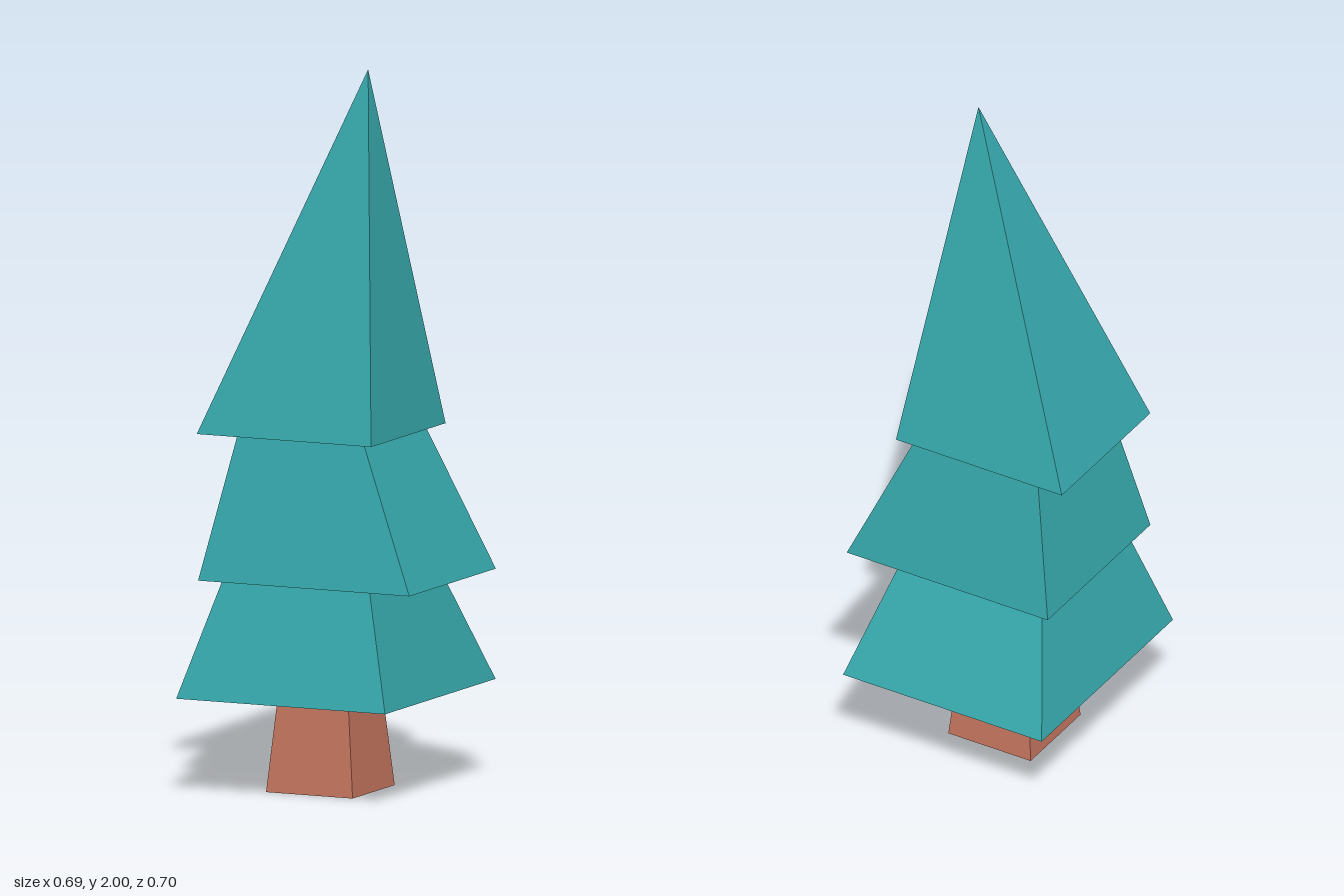
import * as THREE from 'three';
import { ConvexGeometry } from 'three/addons/geometries/ConvexGeometry.js';

// Corners of a level rectangle [x0, x1, z0, z1] at height y; a zero-size one is a single point
function corners([x0, x1, z0, z1], y) {
  const xs = x0 === x1 ? [x0] : [x0, x1];
  const zs = z0 === z1 ? [z0] : [z0, z1];
  return xs.flatMap((x) => zs.map((z) => new THREE.Vector3(x, y, z)));
}

// Solid tapering from a bottom rectangle to a top rectangle
function taperedBlock(name, material, y0, bottom, y1, top) {
  const geometry = new ConvexGeometry([...corners(bottom, y0), ...corners(top, y1)]);
  const mesh = new THREE.Mesh(geometry, material);
  mesh.name = name;
  return mesh;
}

export function createModel() {
  const tree = new THREE.Group();
  tree.name = 'tree';
  const bark = new THREE.MeshStandardMaterial({ color: 0xc4755f, flatShading: true });
  const needles = new THREE.MeshStandardMaterial({ color: 0x36a7ab, flatShading: true });

  tree.add(
    // Trunk
    taperedBlock('trunk', bark, 0, [-0.16, 0.103, -0.1, 0.165], 0.272, [-0.135, 0.077, -0.073, 0.14]),
    // Lopsided foliage tiers, each tucked under the next
    taperedBlock('lowerFoliage', needles, 0.272, [-0.345, 0.29, -0.348, 0.348], 0.596, [-0.25, 0.195, -0.19, 0.25]),
    taperedBlock('middleFoliage', needles, 0.596, [-0.3, 0.342, -0.242, 0.303], 0.995, [-0.218, 0.165, -0.16, 0.224]),
    // Pointed top
    taperedBlock('topFoliage', needles, 0.995, [-0.323, 0.207, -0.205, 0.264], 2, [0.085, 0.085, 0.03, 0.03]),
  );
  return tree;
}
